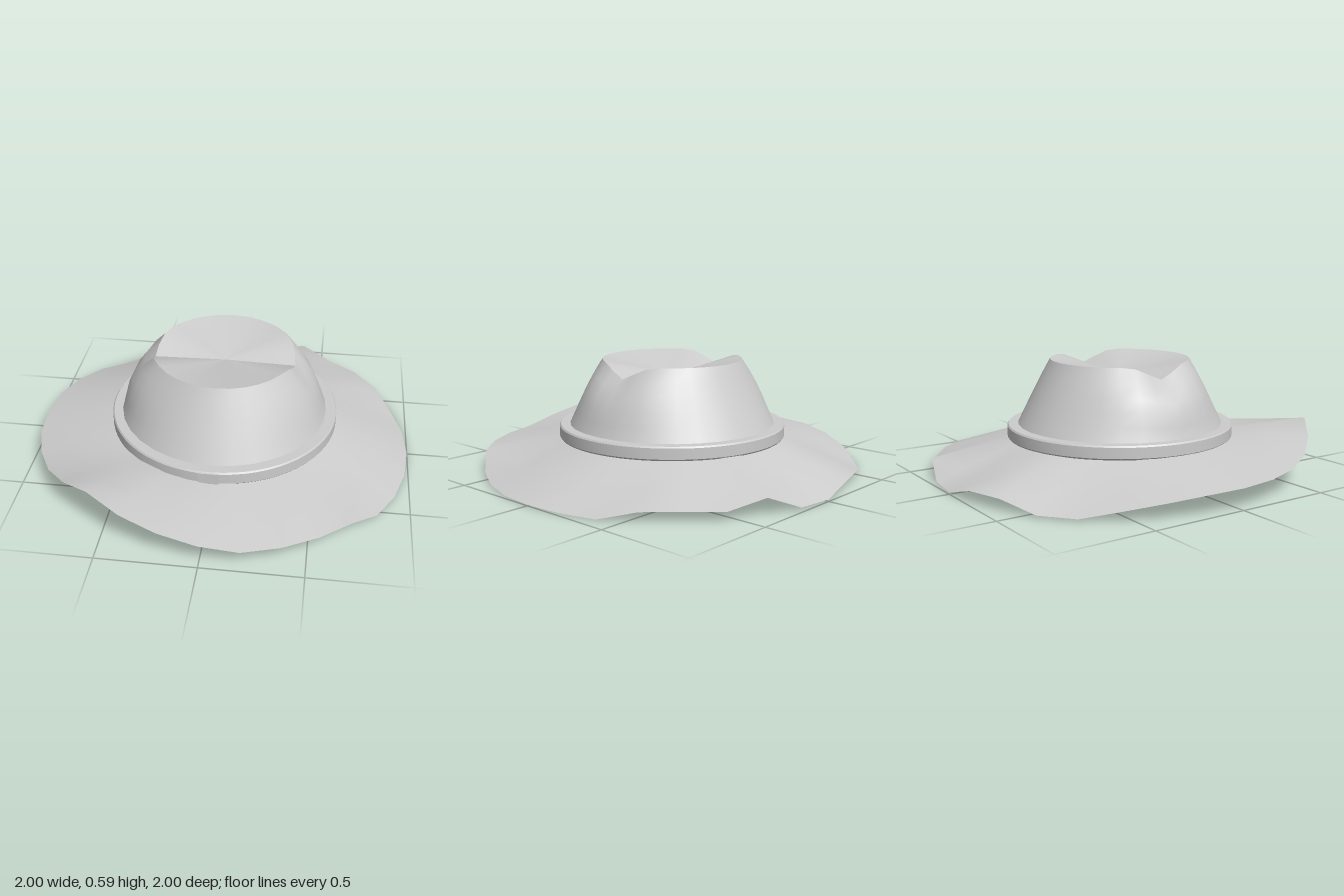
import * as THREE from 'three';
import { toCreasedNormals, mergeVertices } from 'three/addons/utils/BufferGeometryUtils.js';

const SEG = 32;
const { lerp, smoothstep } = THREE.MathUtils;
const material = new THREE.MeshStandardMaterial({ color: 0xcccccc, side: THREE.DoubleSide });

// Skin over closed rings; point(row, column, angle) gives [x, y, z], angle 0 is the front
function ringSurface(rows, point, creaseAngle) {
  const positions = [], index = [];
  for (let j = 0; j < rows; j++) {
    for (let i = 0; i < SEG; i++) positions.push(...point(j, i, (i / SEG) * Math.PI * 2));
  }
  for (let j = 0; j < rows - 1; j++) {
    for (let i = 0; i < SEG; i++) {
      const k = (i + 1) % SEG;
      const a = j * SEG + i, b = j * SEG + k, c = b + SEG, d = a + SEG;
      index.push(a, b, c, a, c, d);
    }
  }
  let geometry = new THREE.BufferGeometry();
  geometry.setAttribute('position', new THREE.Float32BufferAttribute(positions, 3));
  geometry.setIndex(index);
  geometry = mergeVertices(geometry);
  if (creaseAngle) return toCreasedNormals(geometry, creaseAngle);
  geometry.computeVertexNormals();
  return geometry;
}

function addPart(group, name, geometry) {
  const mesh = new THREE.Mesh(geometry, material);
  mesh.name = name;
  group.add(mesh);
  return mesh;
}

const polar = (r, y, a) => [r * Math.sin(a), y, r * Math.cos(a)];

// Height of the brim edge, from the front round by the left side
const brimEdge = [
  0.135, 0.1, 0.1, 0.1, 0.095, 0.025, 0.008, 0.004,
  0.004, 0.003, 0, 0.05, 0.055, 0.045, 0.09, 0.012,
  0.01, 0.06, 0.06, 0.01, 0.01, 0.05, 0.08, 0.1,
  0.105, 0.11, 0.12, 0.145, 0.2, 0.26, 0.215, 0.175,
];

// Rim of the crown, dipping where the crease crosses it
const rimHeight = (a) => 0.512 + 0.076 * smoothstep(Math.abs(0.37 * Math.cos(a)), -0.04, 0.19);

// Head opening under the brim, lowest at the back right
const openingHeight = (a) => 0.115 + 0.045 * Math.sin(a + Math.PI / 4);

export function createModel() {
  const hat = new THREE.Group();
  hat.name = 'hat';

  // Wavy brim, with an underside that thickens towards the head opening
  addPart(hat, 'brim', ringSurface(4, (j, i, a) =>
    polar(lerp(1, 0.56, j / 3), lerp(brimEdge[i], 0.188, j / 3), a)));
  addPart(hat, 'brimUnderside', ringSurface(4, (j, i, a) =>
    polar(lerp(0.56, 1, j / 3), lerp(openingHeight(a), brimEdge[i], j / 3), a)));

  // Tapered crown wall, fuller below the two ends of the crease
  const crownRows = 7;
  addPart(hat, 'crownWall', ringSurface(crownRows, (j, i, a) => {
    const t = j / (crownRows - 1);
    const fullness = (Math.sin(a) < 0 ? 0.095 : 0.065) * Math.sin(a) ** 4;
    const r = lerp(0.575, 0.37, t) + fullness * t * Math.sin(Math.PI * t);
    return polar(r, lerp(0.188, rimHeight(a), t), a);
  }));

  // Creased top, falling from the rim to the middle
  addPart(hat, 'crownTop', ringSurface(2, (j, i, a) =>
    j === 0 ? polar(0.37, rimHeight(a), a) : [0, 0.508, -0.03], 0.35));

  // Lining: inner wall from the opening up to a lower inner top
  addPart(hat, 'liningWall', ringSurface(4, (j, i, a) =>
    polar(lerp(0.41, 0.56, j / 3), lerp(0.46, openingHeight(a), j / 3), a)));
  addPart(hat, 'liningTop', ringSurface(2, (j, i, a) =>
    j === 0 ? [0, 0.45, 0] : polar(0.41, 0.46, a)));

  // Band round the foot of the crown
  const profile = [
    [0.56, 0.176], [0.596, 0.176], [0.602, 0.184], [0.602, 0.239], [0.596, 0.247], [0.54, 0.247],
  ].map(([r, y]) => new THREE.Vector2(r, y));
  addPart(hat, 'band', toCreasedNormals(new THREE.LatheGeometry(profile, 64), 0.5));

  // Small buckle on the front of the band
  const buckle = addPart(hat, 'buckle', new THREE.BoxGeometry(0.1, 0.066, 0.02));
  buckle.position.set(-0.003, 0.209, 0.597);

  return hat;
}
